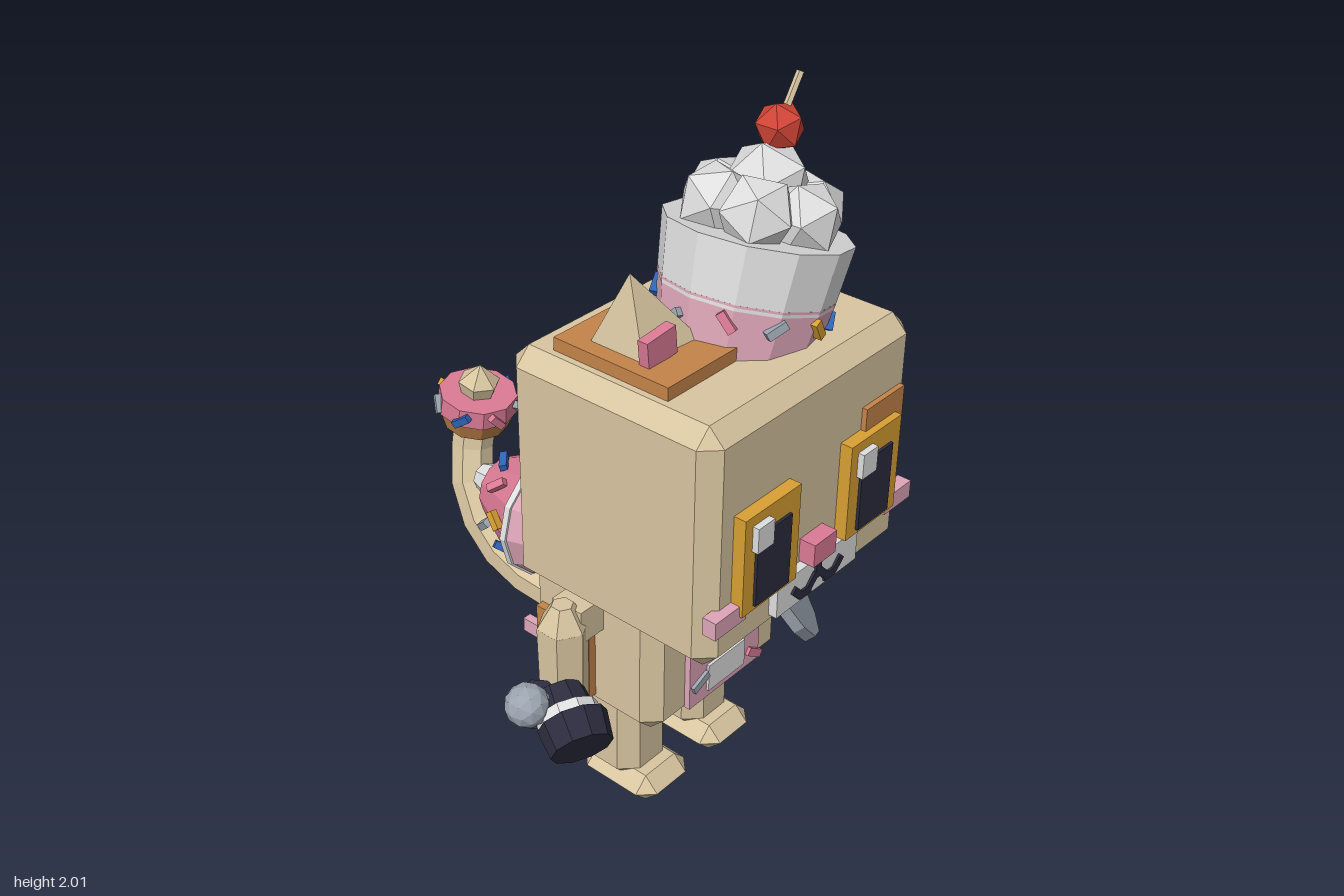
import * as THREE from 'three';
import { ConvexGeometry } from 'three/addons/geometries/ConvexGeometry.js';

const C = -0.075; // x of the body's mirror plane
const paint = (name, color) => { const m = new THREE.MeshStandardMaterial({ color }); m.name = name; return m; };
const V = (x, y, z) => new THREE.Vector3(x, y, z);

export function createModel() {
  const tan = paint('tan', 0xd8c5a0), orange = paint('orange', 0xc48449), gold = paint('gold', 0xd99f33),
    pink = paint('pink', 0xdb7a95), rose = paint('pale pink', 0xdea6b8), white = paint('cream white', 0xdedede),
    steel = paint('steel grey', 0x9ca5b0), dark = paint('dark navy', 0x2c2c3e), red = paint('cherry red', 0xd04436),
    blue = paint('blue', 0x2f62b5);
  const root = new THREE.Group();
  root.name = 'catFigure';

  const group = (name, x = 0, y = 0, z = 0, parent = root) => {
    const g = new THREE.Group();
    g.name = name; g.position.set(x, y, z); parent.add(g);
    return g;
  };
  // Faceted mesh at a position
  const add = (name, geo, mat, x, y, z, parent = root) => {
    const g = geo.index ? geo.toNonIndexed() : geo;
    g.computeVertexNormals();
    const m = new THREE.Mesh(g, mat);
    m.name = name; m.position.set(x, y, z); parent.add(m);
    return m;
  };
  const box = (name, mat, w, h, d, x, y, z, parent) => add(name, new THREE.BoxGeometry(w, h, d), mat, x, y, z, parent);
  const cyl = (name, mat, rt, rb, h, n, x, y, z, parent) => add(name, new THREE.CylinderGeometry(rt, rb, h, n), mat, x, y, z, parent);
  const ball = (name, mat, r, x, y, z, parent, detail = 0) => add(name, new THREE.IcosahedronGeometry(r, detail), mat, x, y, z, parent);
  // Box given by its limits
  const span = (name, mat, x0, x1, y0, y1, z0, z1) =>
    box(name, mat, x1 - x0, y1 - y0, z1 - z0, (x0 + x1) / 2, (y0 + y1) / 2, (z0 + z1) / 2);
  // Box with every edge cut at 45 degrees
  const chamfer = (name, mat, w, h, d, c, x, y, z, parent) => {
    const p = [], a = w / 2, b = h / 2, e = d / 2;
    for (const i of [-1, 1]) for (const j of [-1, 1]) for (const k of [-1, 1])
      p.push(V(i * a, j * (b - c), k * (e - c)), V(i * (a - c), j * b, k * (e - c)), V(i * (a - c), j * (b - c), k * e));
    return add(name, new ConvexGeometry(p), mat, x, y, z, parent);
  };
  // Sprinkles around a cone that stands along local y: [angle, height, radius, material]
  const sprinkles = (list, parent) => list.forEach(([a, y, r, mat], i) => {
    const m = box('sprinkle', mat, 0.055, 0.022, 0.022, r * Math.sin(a), y, r * Math.cos(a), parent);
    m.rotation.set(0, a, i % 2 ? 0.7 : -0.8);
  });

  // Head, body and legs
  chamfer('head', tan, 0.8, 0.675, 0.645, 0.045, C, 1.087, 0.338);
  chamfer('body', tan, 0.55, 0.58, 0.445, 0.045, C, 0.6, 0.168);
  for (const s of [-1, 1]) {
    const x = C + s * 0.1375;
    chamfer('leg', tan, 0.185, 0.32, 0.19, 0.045, x, 0.2, 0.175);
    chamfer('foot', tan, 0.205, 0.085, 0.265, 0.042, x, 0.043, 0.212);
  }

  // Arms
  for (const s of [-1, 1]) {
    const x = C + s * 0.375;
    box('shoulder', tan, 0.1, 0.1, 0.1, C + s * 0.31, 0.65, 0.17);
    cyl('arm', tan, 0.07, 0.065, 0.28, 6, x, 0.51, 0.17);
    cyl('armCap', tan, 0.03, 0.07, 0.065, 6, x, 0.682, 0.17);
    cyl('armEnd', tan, 0.065, 0.035, 0.04, 6, x, 0.35, 0.17);
  }

  // Face
  for (const s of [-1, 1]) {
    const x = C + s * 0.207;
    box('eyeFrame', gold, 0.21, 0.275, 0.04, x, 1.043, 0.675);
    box('pupil', dark, 0.13, 0.2, 0.008, x, 1.02, 0.699);
    box('eyeHighlight', white, 0.06, 0.07, 0.025, x - 0.047, 1.118, 0.7);
    box('cheek', rose, 0.115, 0.05, 0.04, C + s * 0.343, 0.91, 0.667);
  }
  span('facePatch', orange, 0.11, 0.27, 1.03, 1.243, 0.65, 0.675);
  span('muzzle', white, -0.235, 0.095, 0.81, 0.905, 0.65, 0.685);
  span('nose', pink, -0.12, -0.03, 0.91, 0.975, 0.65, 0.706);
  box('mouthLine', dark, 0.022, 0.06, 0.008, C, 0.88, 0.688);
  for (const s of [-1, 1])
    [[0.022, 0.85, -0.8], [0.05, 0.832, 0], [0.083, 0.846, 0.8]].forEach(([dx, y, r]) => {
      box('mouthCurve', dark, 0.045, 0.022, 0.008, C + s * dx, y, 0.688).rotation.z = s * r;
    });

  // Ears
  for (const s of [-1, 1]) {
    const ear = add('ear', new THREE.ConeGeometry(0.145, 0.22, 4).rotateY(Math.PI / 4), tan, C + s * 0.225, 1.54, 0.285);
    ear.rotation.z = -s * 0.2;
    box('innerEar', pink, 0.1, 0.075, 0.03, C + s * 0.255, 1.495, 0.378).rotation.z = -s * 0.1;
  }
  span('headTopPatch', orange, -0.412, -0.115, 1.41, 1.46, 0.125, 0.48);

  // Belly panel with label and sprinkles
  span('bellyPanel', rose, -0.22, 0.075, 0.35, 0.76, 0.38, 0.408);
  span('bellyLabel', white, -0.15, 0.003, 0.375, 0.46, 0.4, 0.416);
  [[-0.175, 0.61, -0.5, pink], [0.008, 0.675, 0.7, steel], [-0.102, 0.52, -1.2, gold], [0.035, 0.495, -0.15, blue],
    [-0.18, 0.423, 0.4, steel], [0.05, 0.385, -0.6, pink]].forEach(([x, y, r, mat]) => {
    box('bellySprinkle', mat, 0.065, 0.024, 0.018, x, y, 0.409).rotation.z = r;
  });

  // Patches and bands on the body
  span('rightPatch', orange, -0.374, -0.34, 0.365, 0.58, 0, 0.19);
  span('leftPatch', orange, 0.19, 0.215, 0.57, 0.8, 0.01, 0.25);
  span('backPatch', orange, 0, 0.115, 0.38, 0.625, -0.075, -0.04);
  span('leftBand', rose, 0.19, 0.21, 0.458, 0.49, -0.05, 0.385);
  span('rightBand', rose, -0.365, -0.34, 0.458, 0.5, -0.06, 0.01);
  box('sideTab', tan, 0.065, 0.065, 0.065, 0.237, 0.69, 0.045 - 0.08);

  // Cupcake hat, leaning to the model's left
  const hat = group('cupcakeHat', 0.058, 1.656, 0.36);
  hat.rotation.z = -0.275;
  cyl('hatCake', rose, 0.222, 0.19, 0.2, 12, 0, -0.245, 0, hat);
  cyl('hatCup', white, 0.238, 0.22, 0.16, 12, 0, -0.08, 0, hat);
  for (let i = 0; i < 6; i++) {
    const a = i * Math.PI / 3;
    ball('frosting', white, 0.1, 0.12 * Math.sin(a), 0.05, 0.12 * Math.cos(a), hat).rotation.y = a;
  }
  ball('frostingTop', white, 0.11, 0, 0.11, 0, hat);
  ball('hatCherry', red, 0.064, 0, 0.242, 0, hat);
  cyl('cherryStem', tan, 0.01, 0.01, 0.1, 5, 0.023, 0.325, 0, hat).rotation.z = -0.3;
  sprinkles([[-1.1, -0.19, 0.218, pink], [-0.55, -0.19, 0.218, steel], [0.05, -0.19, 0.218, gold], [0.6, -0.2, 0.216, blue],
    [1.6, -0.19, 0.218, pink], [2.6, -0.2, 0.216, gold], [3.6, -0.2, 0.216, blue], [4.5, -0.22, 0.212, steel]], hat);

  // Serving plate with a cake cube in the left hand
  const n = V(0.63, 0.52, 0.58).normalize(), up = V(0, 1, 0);
  const tilt = new THREE.Quaternion().setFromUnitVectors(up, n);
  const plate = group('plate', 0.44, 0.342, 0.187);
  plate.quaternion.copy(tilt);
  cyl('plateDisc', steel, 0.235, 0.235, 0.035, 14, 0, 0, 0, plate);
  const onPlate = (name, x, y, z) => {
    const g = group(name, x, y, z);
    g.quaternion.copy(tilt);
    return g;
  };
  const cuff = onPlate('plateGrip', 0.405, 0.455, 0.222);
  cyl('grip', white, 0.064, 0.064, 0.15, 10, 0, 0, 0, cuff);
  const cake = onPlate('cakeCube', 0.555, 0.308, 0.206);
  const cube = group('cube', 0, 0, 0, cake);
  cube.rotation.y = 0.25;
  box('cakeBase', tan, 0.13, 0.1, 0.13, 0, -0.012, 0, cube);
  box('cakeIcing', rose, 0.134, 0.03, 0.134, 0, 0.05, 0, cube);
  ball('cakeCherry', red, 0.028, 0, 0.08, 0, cube, 1);

  // Hand-held shaker and whisk ball in the right hand
  const held = (name, mat, r1, r2, len, x, y, z, dir) => {
    cyl(name, mat, r1, r2, len, 10, x, y, z).quaternion.setFromUnitVectors(up, dir);
  };
  const grip = V(-0.64, 0.64, 0.42).normalize(), front = V(-0.4, -0.45, 0.8).normalize();
  held('handle', dark, 0.065, 0.05, 0.17, -0.51, 0.41, 0.15, grip);
  held('handleCollar', steel, 0.05, 0.05, 0.05, -0.575, 0.465, 0.18, grip);
  ball('handleBall', steel, 0.06, -0.6, 0.483, 0.182, root, 1);
  held('shakerBack', dark, 0.08, 0.07, 0.06, -0.505, 0.447, 0.21, front);
  held('shakerBand', white, 0.085, 0.085, 0.03, -0.52, 0.432, 0.25, front);
  held('shakerFront', dark, 0.085, 0.095, 0.08, -0.538, 0.41, 0.298, front);

  // Cupcake on the back, its axis pointing backwards
  const pack = group('backCupcake', -0.07, 0.62, -0.06);
  pack.rotation.x = -Math.PI / 2;
  cyl('packCup', rose, 0.19, 0.125, 0.18, 12, 0, 0.085, 0, pack);
  cyl('packRim', white, 0.194, 0.194, 0.02, 12, 0, 0.178, 0, pack);
  cyl('packIcing', pink, 0.12, 0.183, 0.13, 12, 0, 0.25, 0, pack);
  cyl('packIcingTop', pink, 0.09, 0.12, 0.06, 12, 0, 0.345, 0, pack);
  cyl('packNozzle', white, 0.04, 0.065, 0.08, 8, 0, 0.41, 0, pack);
  const hues = [steel, gold, pink, blue];
  sprinkles(Array.from({ length: 12 }, (_, i) => [i * Math.PI / 6 + 0.2, 0.225 + (i % 3) * 0.045, 0.178 - (i % 3) * 0.021, hues[i % 4]]), pack);

  // Segmented tail
  const path = new THREE.CatmullRomCurve3([V(-0.06, 0.42, 0), V(-0.07, 0.36, -0.13), V(-0.08, 0.355, -0.28),
    V(-0.085, 0.41, -0.43), V(-0.07, 0.53, -0.55), V(-0.03, 0.65, -0.595), V(0, 0.78, -0.6)]);
  add('tail', new THREE.TubeGeometry(path, 8, 0.062, 7), tan, 0, 0, 0);

  // Iced ring at the tail tip
  const ring = group('tailRing', 0, 0.8, -0.595);
  ring.rotation.x = 0.15;
  cyl('ringBase', orange, 0.115, 0.095, 0.055, 10, 0, -0.035, 0, ring);
  cyl('ringIcing', pink, 0.115, 0.118, 0.055, 10, 0, 0.02, 0, ring);
  cyl('tailTipBase', tan, 0.062, 0.05, 0.04, 6, 0, 0.065, 0, ring);
  add('tailTip', new THREE.ConeGeometry(0.062, 0.055, 6), tan, 0, 0.112, 0, ring);
  sprinkles(Array.from({ length: 7 }, (_, i) => [i * 0.9 + 0.6, 0.015, 0.116, hues[(i * 3) % 4]]), ring);

  return root;
}
